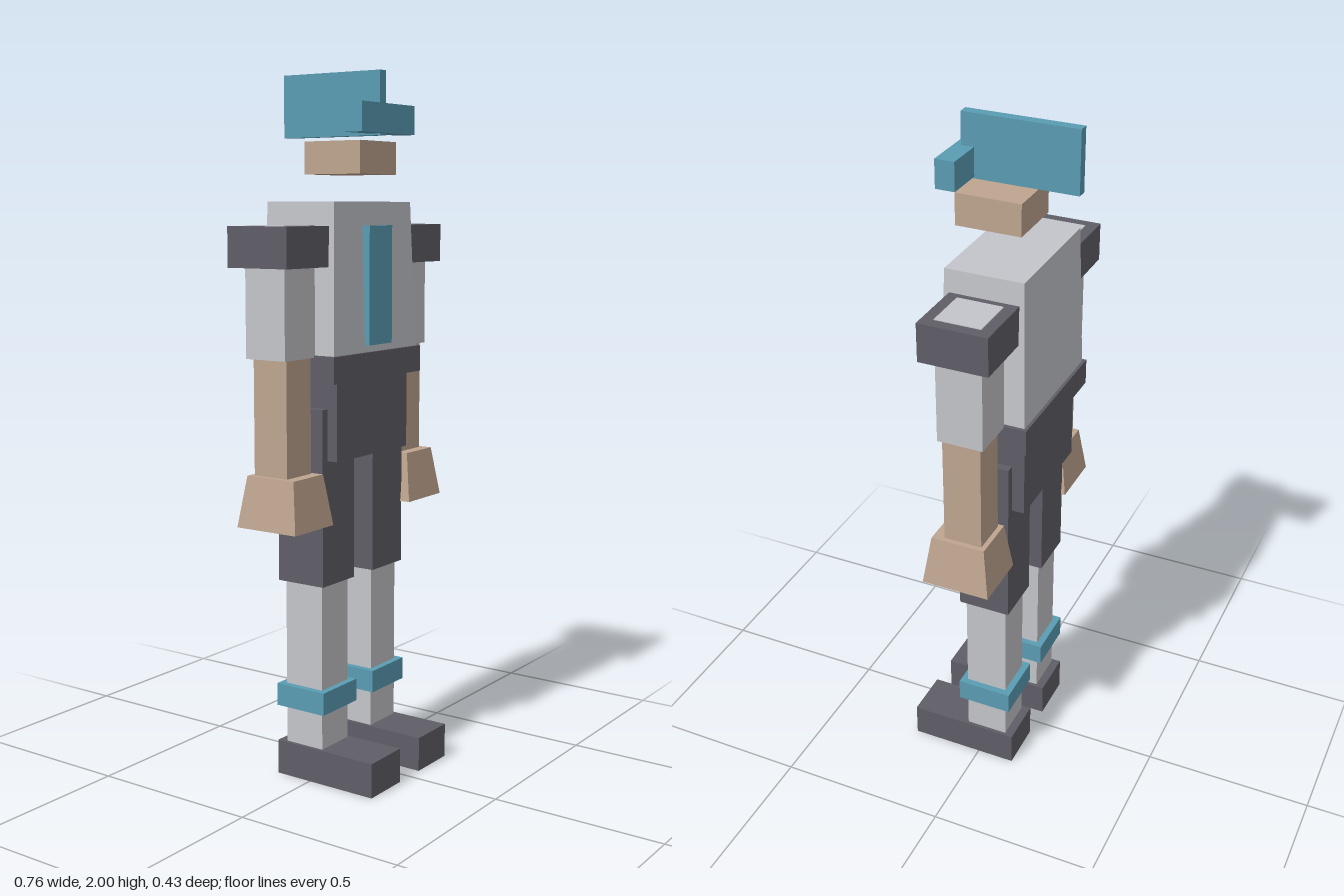
import * as THREE from 'three';

const paint = (name, color) => {
  const m = new THREE.MeshStandardMaterial({ color });
  m.name = name;
  return m;
};

export function createModel() {
  const cloth = paint('light grey cloth', 0xc4c5ca);
  const armour = paint('dark grey armour', 0x5f5e67);
  const trim = paint('teal trim', 0x5a9cb3);
  const skin = paint('tan skin', 0xbfa58f);

  const model = new THREE.Group();
  model.name = 'figure';

  // Box given by its extents; a list of top extents makes it tapered
  function block(parent, name, material, [x0, x1], [y0, y1], [z0, z1], top) {
    const geo = new THREE.BoxGeometry(x1 - x0, y1 - y0, z1 - z0);
    geo.translate((x0 + x1) / 2, (y0 + y1) / 2, (z0 + z1) / 2);
    if (top) {
      const [tx0, tx1, tz0, tz1] = top;
      const p = geo.attributes.position;
      const midY = (y0 + y1) / 2, midX = (x0 + x1) / 2, midZ = (z0 + z1) / 2;
      for (let i = 0; i < p.count; i++) {
        if (p.getY(i) < midY) continue;
        p.setX(i, p.getX(i) < midX ? tx0 : tx1);
        p.setZ(i, p.getZ(i) < midZ ? tz0 : tz1);
      }
      geo.computeVertexNormals();
    }
    const mesh = new THREE.Mesh(geo, material);
    mesh.name = name;
    parent.add(mesh);
  }

  // Head and helmet
  block(model, 'head', skin, [-0.088, 0.088], [1.72, 1.81], [-0.088, 0.1]);
  block(model, 'helmetBrow', trim, [-0.13, 0.13], [1.83, 1.91], [0.078, 0.134]);
  block(model, 'helmetCrest', trim, [-0.015, 0.015], [1.825, 2], [-0.215, 0.115]);

  // Body
  block(model, 'torso', cloth, [-0.205, 0.205], [1.23, 1.645], [-0.152, 0.095],
    [-0.188, 0.188, -0.141, 0.084]);
  block(model, 'chestStripe', trim, [-0.056, 0.056], [1.25, 1.58], [0.085, 0.11]);
  block(model, 'belt', armour, [-0.216, 0.216], [1.155, 1.23], [-0.161, 0.104]);
  block(model, 'hips', armour, [-0.175, 0.175], [0.935, 1.155], [-0.139, 0.084]);

  // Arms and legs, mirrored across x
  for (const [side, s] of [['left', 1], ['right', -1]]) {
    const span = (a, b) => (s > 0 ? [a, b] : [-b, -a]);

    const arm = new THREE.Group();
    arm.name = side + 'Arm';
    model.add(arm);
    block(arm, 'shoulderPad', armour, span(0.19, 0.379), [1.47, 1.58], [-0.128, 0.07]);
    block(arm, 'upperArm', cloth, span(0.212, 0.346), [1.225, 1.582], [-0.095, 0.037]);
    block(arm, 'forearm', skin, span(0.223, 0.331), [0.9, 1.225], [-0.081, 0.03]);
    block(arm, 'hand', skin, span(0.193, 0.367), [0.762, 0.905], [-0.115, 0.084],
      [...span(0.212, 0.346), -0.095, 0.063]);

    const leg = new THREE.Group();
    leg.name = side + 'Leg';
    model.add(leg);
    block(leg, 'thigh', armour, span(0.047, 0.199), [0.58, 1.08], [-0.102, 0.052]);
    block(leg, 'shin', cloth, span(0.06, 0.185), [0.1, 0.58], [-0.087, 0.038]);
    block(leg, 'ankleBand', trim, span(0.042, 0.205), [0.21, 0.275], [-0.107, 0.057]);
    block(leg, 'foot', armour, span(0.05, 0.195), [0, 0.1], [-0.113, 0.215]);
  }
  return model;
}
